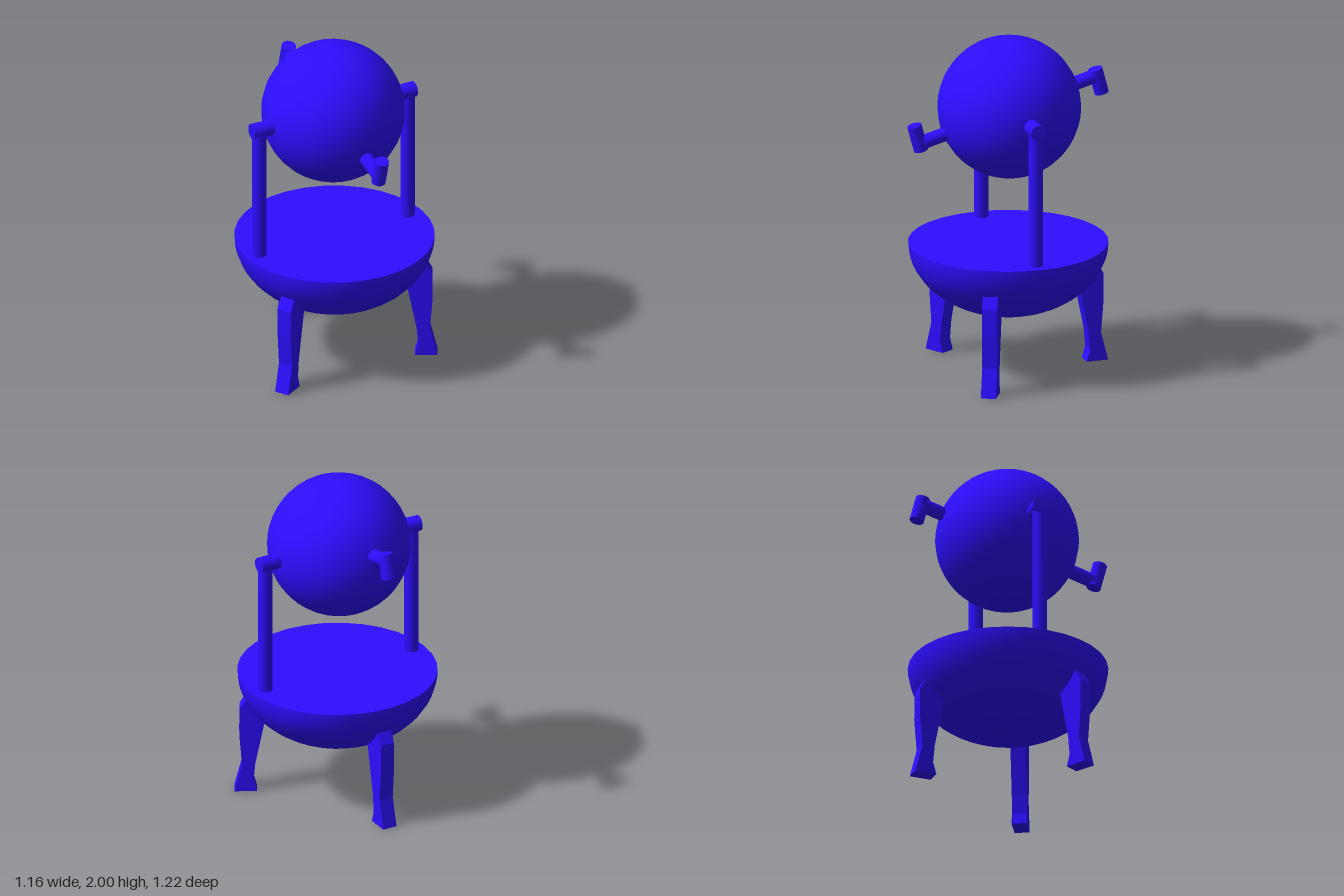
import * as THREE from 'three';

const material = new THREE.MeshStandardMaterial({ color: 0x2d0dff });
const flatMaterial = new THREE.MeshStandardMaterial({ color: 0x2d0dff, flatShading: true });

function add(parent, name, geometry, mat = material) {
  const mesh = new THREE.Mesh(geometry, mat);
  mesh.name = name;
  parent.add(mesh);
  return mesh;
}

// Closed round rod between two points
function rod(parent, name, from, to, radius) {
  const a = new THREE.Vector3(...from);
  const b = new THREE.Vector3(...to);
  const mesh = add(parent, name, new THREE.CylinderGeometry(radius, radius, a.distanceTo(b), 24));
  mesh.position.copy(a).add(b).multiplyScalar(0.5);
  mesh.quaternion.setFromUnitVectors(new THREE.Vector3(0, 1, 0), b.sub(a).normalize());
  return mesh;
}

export function createModel() {
  const model = new THREE.Group();
  model.name = 'steamEngine';

  // Cauldron: half ellipsoid with a flat lid
  const rimY = 0.77, rimR = 0.58, depth = 0.425;
  const bowl = add(model, 'bowl',
    new THREE.SphereGeometry(1, 32, 16, 0, Math.PI * 2, Math.PI / 2, Math.PI / 2));
  bowl.scale.set(rimR, depth, rimR);
  bowl.position.y = rimY;
  const lid = add(model, 'lid', new THREE.CircleGeometry(rimR, 32));
  lid.rotation.x = -Math.PI / 2;
  lid.position.y = rimY;

  // Three carved legs, one at the back and two at the front
  const legShape = new THREE.Shape([
    [0.465, 0], [0.595, 0], [0.575, 0.08], [0.552, 0.17], [0.567, 0.36], [0.566, 0.53],
    [0.525, 0.6], [0.44, 0.6], [0.415, 0.48], [0.475, 0.18], [0.485, 0.07],
  ].map(([r, y]) => new THREE.Vector2(r, y)));
  const legWidth = 0.088;
  const legGeometry = new THREE.ExtrudeGeometry(legShape, { depth: legWidth, bevelEnabled: false });
  legGeometry.translate(0, 0, -legWidth / 2);
  [['backLeg', 90], ['frontLeftLeg', -30], ['frontRightLeg', -150]].forEach(([name, angle]) => {
    add(model, name, legGeometry, flatMaterial).rotation.y = THREE.MathUtils.degToRad(angle);
  });

  // Steam pipes carrying the sphere
  rod(model, 'leftPipe', [0.486, 0.75, -0.003], [0.486, 1.59, -0.003], 0.042);
  rod(model, 'leftPivot', [0.53, 1.585, -0.005], [0.36, 1.585, -0.005], 0.046);
  rod(model, 'rightPipe', [-0.495, 0.75, -0.003], [-0.495, 1.59, -0.003], 0.042);
  rod(model, 'rightPivot', [-0.54, 1.585, -0.014], [-0.36, 1.585, -0.003], 0.046);

  // Spinning sphere with two bent nozzles, tilted about the pivots
  const rotor = new THREE.Group();
  rotor.name = 'rotor';
  rotor.position.set(-0.005, 1.584, -0.008);
  rotor.rotation.x = THREE.MathUtils.degToRad(15);
  model.add(rotor);
  add(rotor, 'sphere', new THREE.SphereGeometry(0.416, 32, 24));
  rod(rotor, 'frontNozzleArm', [0, -0.02, 0.35], [0, -0.02, 0.575], 0.041);
  rod(rotor, 'frontNozzle', [0, -0.061, 0.574], [0, 0.097, 0.574], 0.042);
  rod(rotor, 'backNozzleArm', [0, -0.008, -0.35], [0, -0.008, -0.556], 0.041);
  rod(rotor, 'backNozzle', [0, 0.033, -0.552], [0, -0.12, -0.552], 0.042);

  return model;
}
